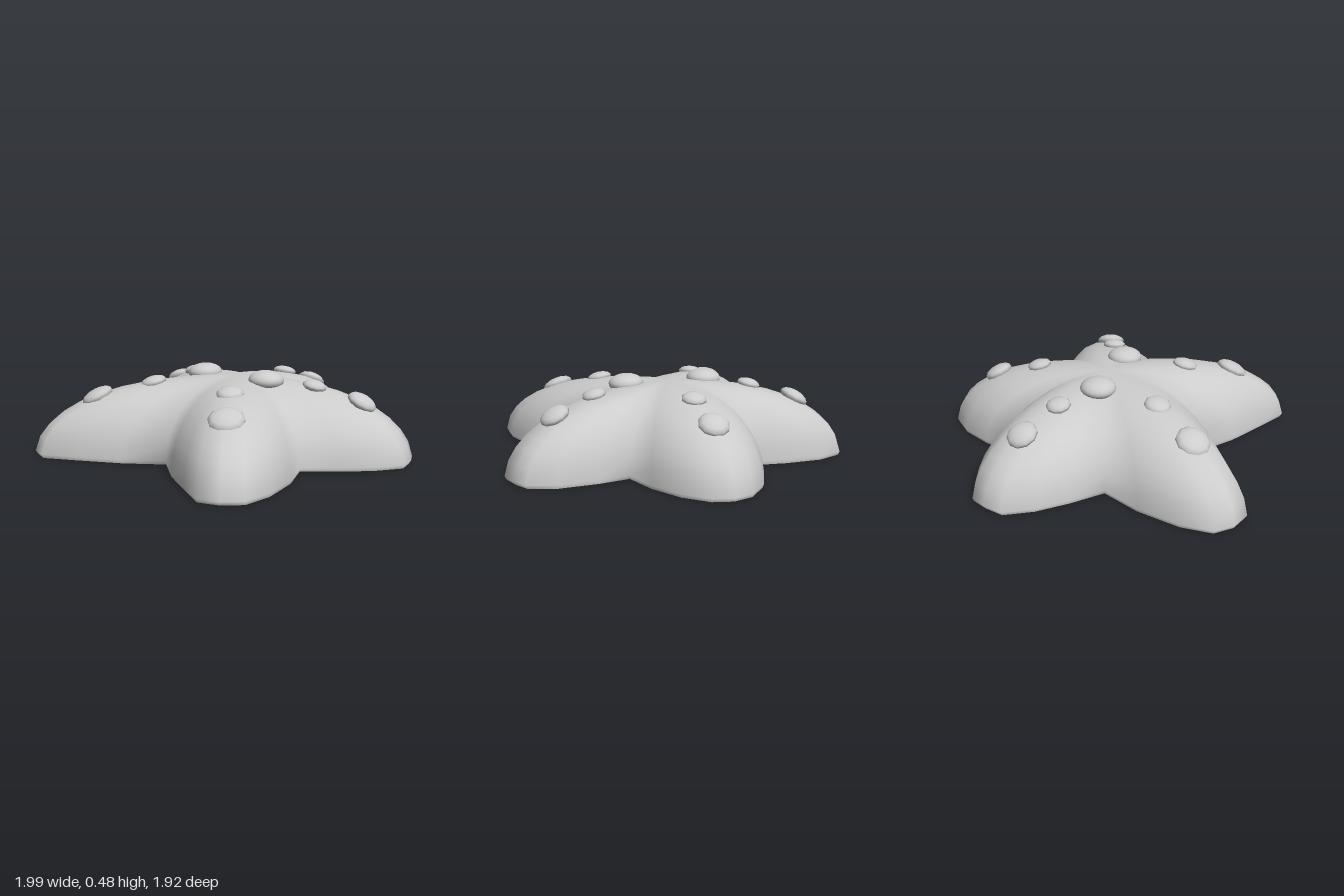
import * as THREE from 'three';

const grey = new THREE.MeshStandardMaterial({ color: 0xcccccc });
grey.name = 'starfish grey';

// Half outline of the star, [x, z], from the back tip round to the front notch
const half = [
  [0, -0.965], [0.11, -0.935], [0.225, -0.82], [0.32, -0.636], [0.374, -0.438],
  [0.55, -0.465], [0.77, -0.47], [0.92, -0.417], [0.965, -0.33], [0.995, -0.22],
  [0.91, -0.075], [0.78, 0.064], [0.626, 0.203], [0.738, 0.417], [0.807, 0.658],
  [0.807, 0.83], [0.727, 0.914], [0.615, 0.952], [0.42, 0.85], [0.2, 0.73], [0, 0.583],
];
const outline = [...half, ...half.slice(1, -1).reverse().map(([x, z]) => [-x, z])];

// Joins scaled copies of the outline, [scale, y], from the centre outwards
function starSurface(rings) {
  const n = outline.length, pos = [], index = [];
  pos.push(0, rings[0][1], 0);
  rings.slice(1).forEach(([s, y], k) => {
    outline.forEach(([x, z], i) => {
      pos.push(x * s, y, z * s);
      const j = (i + 1) % n, c = 1 + k * n + i, d = 1 + k * n + j;
      if (k === 0) index.push(0, d, c);
      else index.push(c - n, d - n, d, c - n, d, c);
    });
  });
  const geo = new THREE.BufferGeometry();
  geo.setAttribute('position', new THREE.Float32BufferAttribute(pos, 3));
  geo.setIndex(index);
  geo.computeVertexNormals();
  return geo;
}

// Flattened ball that leans outwards with the slope of the body
function bump(name, x, y, z, radius, height, lean, sides) {
  const mesh = new THREE.Mesh(new THREE.SphereGeometry(radius, sides, Math.ceil(sides * 0.7)), grey);
  mesh.name = name;
  mesh.scale.y = height / radius;
  mesh.position.set(x, y, z);
  const out = new THREE.Vector3(x, 0, z).normalize().multiplyScalar(lean);
  out.y = 1;
  mesh.quaternion.setFromUnitVectors(new THREE.Vector3(0, 1, 0), out.normalize());
  return mesh;
}

export function createModel() {
  const group = new THREE.Group();
  group.name = 'starfish';

  // Domed upper body with a small turned-in rim
  const dome = [0, 0.15, 0.3, 0.45, 0.58, 0.7, 0.79, 0.87, 0.93, 0.975]
    .map((t) => [t, 0.43 * Math.sqrt(1 - t ** 2.4)]);
  const body = new THREE.Mesh(starSurface([...dome, [1, 0.02], [0.99, 0]]), grey);
  body.name = 'body';
  group.add(body);

  // Flat underside
  const underGeo = starSurface([[0, 0], [0.99, 0]]);
  underGeo.rotateZ(Math.PI);
  const underside = new THREE.Mesh(underGeo, grey);
  underside.name = 'underside';
  group.add(underside);

  // Spots on the back arm
  group.add(bump('outerSpot', 0, 0.325, -0.69, 0.085, 0.04, 0.55, 10));
  group.add(bump('innerSpot', 0, 0.405, -0.42, 0.07, 0.032, 0.25, 10));

  // Eyes and the spots on the paired arms
  for (const s of [-1, 1]) {
    group.add(bump('eye', s * 0.24, 0.425, 0.033, 0.1, 0.055, 0.04, 20));
    group.add(bump('sideOuterSpot', s * 0.715, 0.325, -0.215, 0.085, 0.04, 0.55, 10));
    group.add(bump('sideInnerSpot', s * 0.47, 0.4, -0.11, 0.068, 0.032, 0.25, 10));
    group.add(bump('frontOuterSpot', s * 0.505, 0.325, 0.635, 0.095, 0.042, 0.5, 10));
    group.add(bump('frontInnerSpot', s * 0.3, 0.4, 0.39, 0.075, 0.034, 0.25, 10));
  }
  return group;
}
